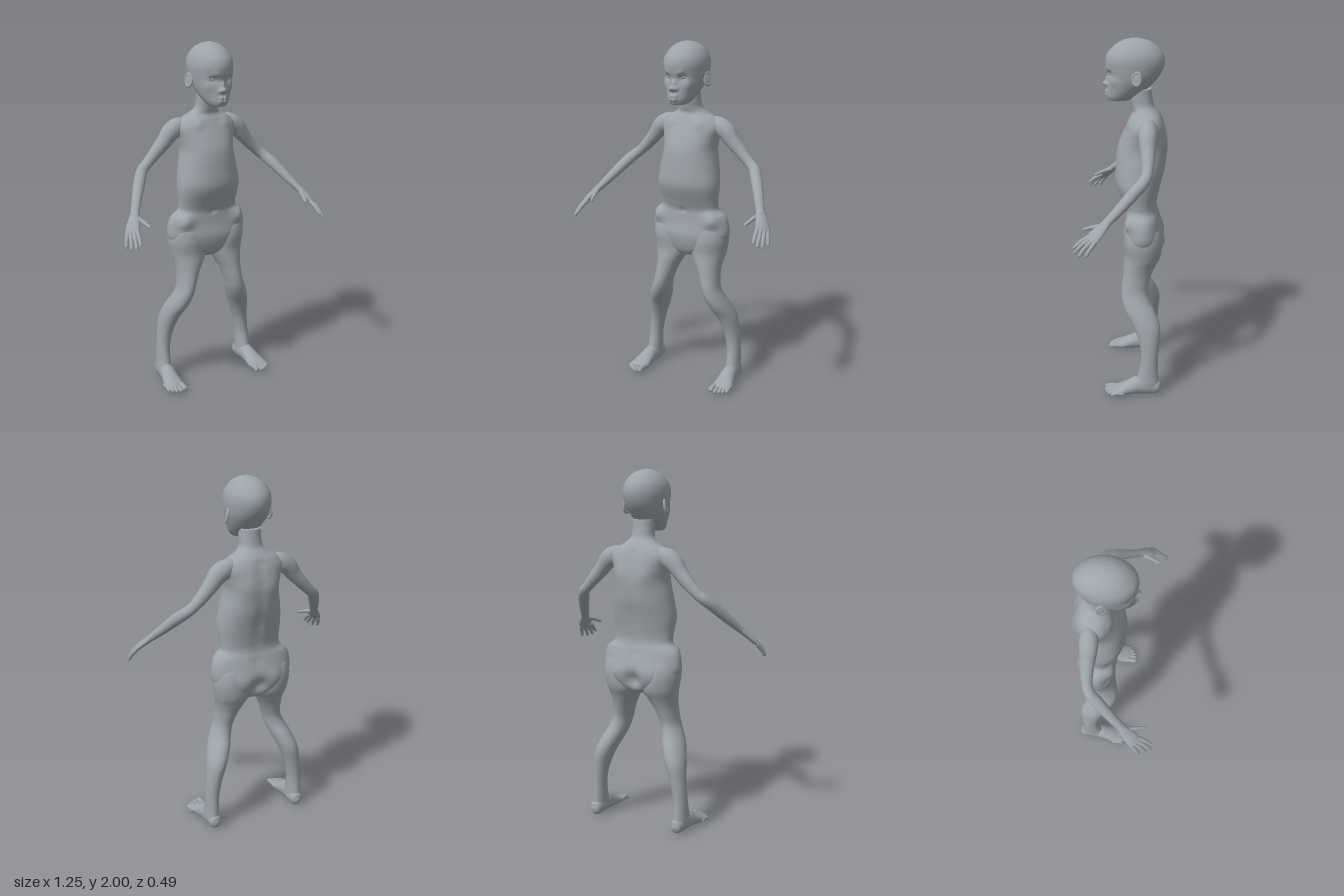
import * as THREE from 'three';

const V = (x, y, z) => new THREE.Vector3(x, y, z);

// Smooth skin over oval sections [x, y, z, ra, rb]. With `side` the rings stand
// square to the path, without it they lie flat (path must then run upwards).
function loft(sections, { side = null, seg = 32, steps = 48, cap = 0, bumps = [], power = 1 } = {}) {
  const path = new THREE.CatmullRomCurve3(sections.map(s => V(s[0], s[1], s[2])), false, 'catmullrom');
  const size = new THREE.CatmullRomCurve3(sections.map(s => V(s[3], s[4], 0)), false, 'catmullrom');
  const pos = [], index = [];
  const soft = v => Math.sign(v) * Math.pow(Math.abs(v), power);
  for (let i = 0; i <= steps; i++) {
    const t = i / steps, c = path.getPoint(t), r = size.getPoint(t);
    let a = V(1, 0, 0), b = V(0, 0, -1);
    if (side) {
      const d = path.getTangent(t);
      a = side.clone().addScaledVector(d, -side.dot(d)).normalize();
      b = d.clone().cross(a);
    }
    const u = cap ? Math.min(1, (1 - t) / cap) : 1;
    const k = Math.sqrt(Math.max(0, 1 - (1 - u) ** 2));
    for (let j = 0; j < seg; j++) {
      const q = j / seg * Math.PI * 2;
      const p = c.clone()
        .addScaledVector(a, soft(Math.cos(q)) * Math.max(r.x, 0.001) * k)
        .addScaledVector(b, soft(Math.sin(q)) * Math.max(r.y, 0.001) * k);
      pos.push(p);
      if (i < steps) {
        const n = (j + 1) % seg, o = i * seg;
        index.push(o + j, o + n, o + seg + n, o + j, o + seg + n, o + seg + j);
      }
    }
  }
  // end caps
  const first = pos.length, last = first + 1, o = steps * seg;
  pos.push(path.getPoint(0), path.getPoint(1));
  for (let j = 0; j < seg; j++) {
    const n = (j + 1) % seg;
    index.push(first, n, j, last, o + j, o + n);
  }
  // soft local swellings and hollows [x, y, z, radius, dx, dy, dz], mirrored when off centre
  const all = bumps.flatMap(m => m[0] ? [m, [-m[0], m[1], m[2], m[3], -m[4], m[5], m[6]]] : [m]);
  for (const p of pos) {
    const q = p.clone();
    for (const [x, y, z, r, dx, dy, dz] of all) {
      const w = Math.exp(-q.distanceToSquared(V(x, y, z)) / (r * r));
      p.addScaledVector(V(dx, dy, dz), w);
    }
  }
  const g = new THREE.BufferGeometry().setFromPoints(pos);
  g.setIndex(index);
  g.computeVertexNormals();
  return g;
}

// [y, half width, front z, back z] -> flat centred section
const slice = ([y, w, f, b]) => [0, y, (f + b) / 2, w, (f - b) / 2];
// [y, inner x, outer x, front z, back z] -> flat leg section
const legSlice = s => ([y, i, o, f, b]) => [s * (i + o) / 2, y, (f + b) / 2, (o - i) / 2, (f - b) / 2];

export function createModel() {
  const model = new THREE.Group();
  model.name = 'figure';
  const grey = new THREE.MeshStandardMaterial({ color: 0x9da4a9 });
  grey.name = 'clay grey';
  const add = (name, geometry, parent = model) => {
    const m = new THREE.Mesh(geometry, grey);
    m.name = name;
    parent.add(m);
    return m;
  };

  // torso and neck
  const torsoBumps = [
    [0.1, 1.43, -0.235, 0.06, 0, 0, -0.012],   // shoulder blades
    [0.09, 1.555, -0.03, 0.03, 0, 0, 0.01],    // collar bones
    [0.17, 1.0, -0.03, 0.045, 0.01, 0, 0.025], // hip bones
    [0, 1.05, -0.01, 0.016, 0, 0, -0.01],      // navel
    [0, 0.85, -0.235, 0.045, 0, 0, 0.035],
    [0.1, 0.88, -0.2, 0.07, 0, 0, -0.018],
  ];
  for (let y = 1.0; y < 1.56; y += 0.05) torsoBumps.push([0, y, -0.22, 0.03, 0, 0, 0.008]);
  add('torso', loft([
    [0.765, 0.02, -0.07, -0.14], [0.785, 0.1, -0.035, -0.19], [0.83, 0.19, -0.012, -0.217],
    [0.9, 0.24, 0, -0.225], [0.97, 0.24, -0.01, -0.213], [1.02, 0.222, -0.014, -0.2],
    [1.055, 0.182, -0.012, -0.19], [1.1, 0.178, 0.005, -0.19], [1.2, 0.187, 0.045, -0.21],
    [1.3, 0.173, 0.045, -0.235], [1.4, 0.155, 0.035, -0.243], [1.47, 0.165, 0.01, -0.238],
    [1.53, 0.18, -0.018, -0.226], [1.575, 0.15, -0.038, -0.208], [1.605, 0.095, -0.052, -0.188],
    [1.635, 0.066, -0.045, -0.166], [1.68, 0.06, -0.035, -0.156], [1.73, 0.058, -0.03, -0.15],
  ].map(slice), { seg: 72, steps: 130, bumps: torsoBumps, power: 0.93 }));

  // head with moulded face
  add('head', loft([
    [1.663, 0.02, 0.065, 0.0], [1.668, 0.047, 0.086, -0.04], [1.69, 0.066, 0.094, -0.08],
    [1.72, 0.083, 0.092, -0.12], [1.76, 0.1, 0.088, -0.162], [1.8, 0.112, 0.085, -0.195],
    [1.84, 0.118, 0.094, -0.215], [1.88, 0.12, 0.099, -0.222], [1.92, 0.112, 0.087, -0.212],
    [1.96, 0.088, 0.05, -0.178], [1.985, 0.055, 0.008, -0.135], [1.997, 0.022, -0.035, -0.09],
    [2.0, 0.004, -0.058, -0.068],
  ].map(slice), {
    seg: 112, steps: 140, bumps: [
      [0, 1.757, 0.088, 0.016, 0, 0, 0.026],       // nose tip
      [0, 1.785, 0.086, 0.014, 0, 0, 0.013],       // nose bridge
      [0.017, 1.752, 0.086, 0.01, 0, 0, 0.011],    // nostrils
      [0.042, 1.838, 0.085, 0.02, 0, 0, 0.007],    // brows
      [0.045, 1.814, 0.072, 0.021, 0, 0, -0.013],  // eye sockets
      [0.07, 1.775, 0.05, 0.03, 0.004, 0, 0.006],  // cheeks
      [0.013, 1.714, 0.093, 0.011, 0, 0, 0.011],   // upper lip
      [0.012, 1.695, 0.093, 0.011, 0, 0, 0.009],   // lower lip
      [0, 1.705, 0.1, 0.006, 0, 0, -0.006],
    ],
  }));

  for (const s of [1, -1]) {
    const label = s > 0 ? 'left' : 'right';
    const mirror = ([x, ...rest]) => [s * x, ...rest];

    // eye and ear
    const eye = add(label + 'Eye', new THREE.SphereGeometry(0.016, 24, 16));
    eye.scale.set(1.15, 0.6, 0.7);
    eye.position.set(s * 0.045, 1.815, 0.058);
    eye.rotation.y = s * 0.45;

    const ear = new THREE.Group();
    ear.name = label + 'Ear';
    add('earRim', new THREE.TorusGeometry(0.023, 0.007, 12, 32), ear).scale.set(1, 1.4, 1);
    add('earBowl', new THREE.SphereGeometry(0.022, 24, 16), ear).scale.set(0.95, 1.4, 0.3);
    ear.position.set(s * 0.122, 1.798, -0.072);
    ear.rotation.set(-0.15, s * (Math.PI / 2 - 0.35), 0, 'YXZ');
    model.add(ear);

    // arm
    const across = V(s * -0.72, 0.27, 0.63);
    add(label + 'Arm', loft([
      [0.11, 1.535, -0.135, 0.035, 0.05], [0.165, 1.53, -0.135, 0.05, 0.054], [0.21, 1.505, -0.135, 0.05, 0.052],
      [0.25, 1.455, -0.135, 0.043, 0.043], [0.3, 1.4, -0.137, 0.036, 0.036], [0.355, 1.345, -0.132, 0.03, 0.03],
      [0.395, 1.312, -0.115, 0.031, 0.031], [0.43, 1.27, -0.07, 0.033, 0.032], [0.475, 1.205, -0.005, 0.029, 0.027],
      [0.52, 1.14, 0.065, 0.024, 0.02], [0.535, 1.12, 0.085, 0.024, 0.019],
    ].map(mirror), { side: across, steps: 64 }));

    // hand
    const hand = new THREE.Group();
    hand.name = label + 'Hand';
    model.add(hand);
    add('palm', loft([
      [0.518, 1.143, 0.062, 0.023, 0.02], [0.537, 1.118, 0.088, 0.03, 0.018],
      [0.557, 1.09, 0.118, 0.038, 0.017], [0.574, 1.063, 0.143, 0.039, 0.014], [0.58, 1.052, 0.152, 0.034, 0.009],
    ].map(mirror), { side: across, steps: 24, cap: 0.12 }), hand);
    const fingers = [
      ['thumb', [0.525, 1.122, 0.085], [0.507, 1.106, 0.145], [0.491, 1.085, 0.2]],
      ['indexFinger', [0.55, 1.075, 0.152], [0.559, 1.045, 0.202], [0.567, 1.008, 0.243]],
      ['middleFinger', [0.566, 1.067, 0.15], [0.579, 1.03, 0.2], [0.587, 0.99, 0.236]],
      ['ringFinger', [0.58, 1.062, 0.138], [0.595, 1.022, 0.18], [0.604, 0.98, 0.21]],
      ['littleFinger', [0.59, 1.06, 0.122], [0.609, 1.022, 0.152], [0.62, 0.985, 0.173]],
    ];
    for (const [name, a, b, c] of fingers) {
      add(name, loft([[...a, 0.013, 0.013], [...b, 0.011, 0.011], [...c, 0.008, 0.008]].map(mirror),
        { side: across, seg: 16, steps: 20, cap: 0.15 }), hand);
    }

    // leg
    add(label + 'Leg', loft([
      [0.035, 0.242, 0.312, -0.09, -0.208], [0.07, 0.234, 0.316, -0.075, -0.212], [0.12, 0.234, 0.313, -0.09, -0.208],
      [0.2, 0.231, 0.31, -0.106, -0.204], [0.3, 0.211, 0.303, -0.1, -0.21], [0.4, 0.175, 0.29, -0.065, -0.215],
      [0.48, 0.14, 0.263, -0.018, -0.187], [0.54, 0.119, 0.235, 0.004, -0.153], [0.6, 0.104, 0.211, 0.009, -0.14],
      [0.68, 0.074, 0.204, 0, -0.16], [0.74, 0.04, 0.21, -0.006, -0.185], [0.8, 0.008, 0.224, -0.012, -0.214],
      [0.88, 0.012, 0.236, -0.006, -0.222], [0.95, 0.04, 0.225, -0.02, -0.205], [0.99, 0.08, 0.19, -0.06, -0.17],
    ].map(legSlice(s)), { seg: 48, steps: 100 }));

    // foot
    const foot = new THREE.Group();
    foot.name = label + 'Foot';
    model.add(foot);
    add('sole', loft([
      [0.272, 0.04, -0.224, 0.008, 0.01], [0.272, 0.042, -0.208, 0.032, 0.038], [0.273, 0.052, -0.16, 0.04, 0.051],
      [0.276, 0.056, -0.1, 0.042, 0.054], [0.28, 0.044, -0.045, 0.048, 0.042], [0.285, 0.031, 0.005, 0.056, 0.029],
      [0.288, 0.024, 0.04, 0.056, 0.021], [0.286, 0.018, 0.06, 0.048, 0.011],
    ].map(mirror), { side: V(1, 0, 0), seg: 40, steps: 48, cap: 0.06 }), foot);
    const toes = [[0.247, 0.1, 0.017], [0.275, 0.102, 0.012], [0.297, 0.094, 0.0115], [0.317, 0.082, 0.011], [0.335, 0.064, 0.011]];
    toes.forEach(([x, z, r], i) => add('toe' + (i + 1), loft([
      [x, 0.026, z - 0.075, r, r], [x, 0.028, z - 0.035, r * 0.9, r * 0.95], [x, r + 0.004, z, r, r],
    ].map(mirror), { side: V(1, 0, 0), seg: 16, steps: 20, cap: 0.2 }), foot));
  }
  return model;
}
